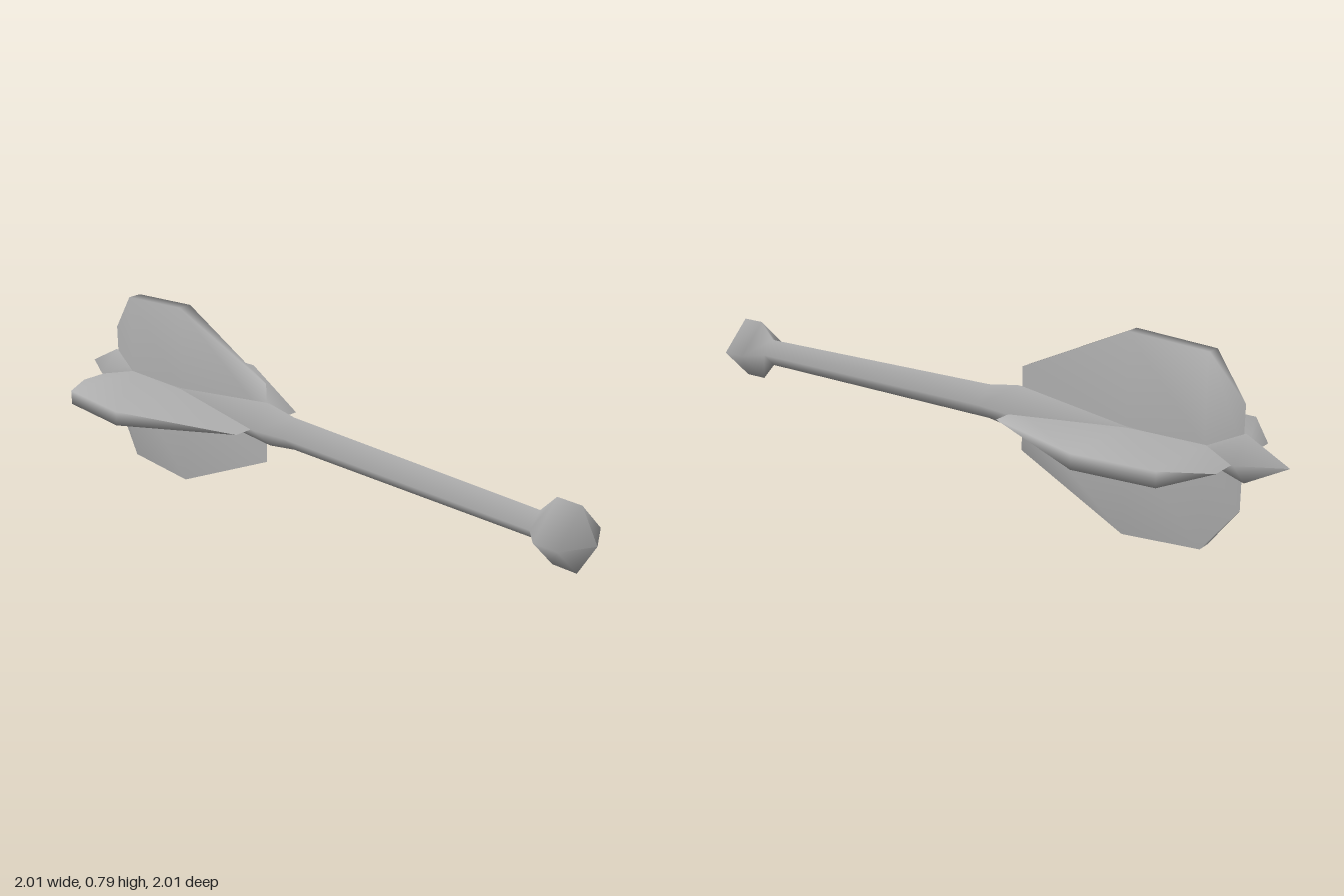
import * as THREE from 'three';

// One flange in the XY plane: y runs along the shaft, x outward, z is thickness
function flangeGeometry() {
  // [position along shaft, outer radius, half thickness]
  const stations = [
    [-1.19, 0.2, 0],
    [-1.055, 0.372, 0.03],
    [-0.725, 0.395, 0.03],
    [-0.24, 0.172, 0],
  ];
  const root = 0.02;
  const positions = [];
  const indices = [];
  for (const [y, r, t] of stations) {
    positions.push(root, y, t, r, y, t, r, y, -t, root, y, -t);
  }
  for (let s = 0; s < stations.length - 1; s++) {
    for (let k = 0; k < 3; k++) {
      const a = s * 4 + k, b = a + 1, c = a + 5, d = a + 4;
      indices.push(a, b, c, a, c, d);
    }
  }
  const geometry = new THREE.BufferGeometry();
  geometry.setAttribute('position', new THREE.Float32BufferAttribute(positions, 3));
  geometry.setIndex(indices);
  geometry.computeVertexNormals();
  return geometry;
}

// Four-sided turned part from [radius, position along shaft] pairs
function turned(name, profile, material) {
  const points = profile.map(([r, y]) => new THREE.Vector2(r, y));
  const mesh = new THREE.Mesh(new THREE.LatheGeometry(points, 4), material);
  mesh.name = name;
  return mesh;
}

export function createModel() {
  const steel = new THREE.MeshStandardMaterial({ color: 0xb0b0b0, side: THREE.DoubleSide });
  steel.name = 'steel grey';

  const mace = new THREE.Group();
  mace.name = 'mace';

  // Spike, head core, handle and pommel follow one axis
  mace.add(turned('shaft', [
    [0, -1.37], [0.092, -1.2], [0.058, -1.06], [0.058, -0.84],
    [0.092, -0.22], [0.07, -0.08], [0.058, 1.115],
    [0.13, 1.18], [0.13, 1.282], [0, 1.354],
  ], steel));

  // Four flanges around the head
  const flange = flangeGeometry();
  for (let i = 0; i < 4; i++) {
    const mesh = new THREE.Mesh(flange, steel);
    mesh.name = 'flange' + (i + 1);
    mesh.rotation.y = i * Math.PI / 2;
    mace.add(mesh);
  }

  // Lay the mace flat along the x = z diagonal
  const h = Math.SQRT1_2;
  mace.quaternion.setFromRotationMatrix(new THREE.Matrix4().makeBasis(
    new THREE.Vector3(h, 0, -h),
    new THREE.Vector3(h, 0, h),
    new THREE.Vector3(0, -1, 0),
  ));
  mace.position.y = 0.396;

  const model = new THREE.Group();
  model.name = 'flangedMace';
  model.add(mace);
  return model;
}
